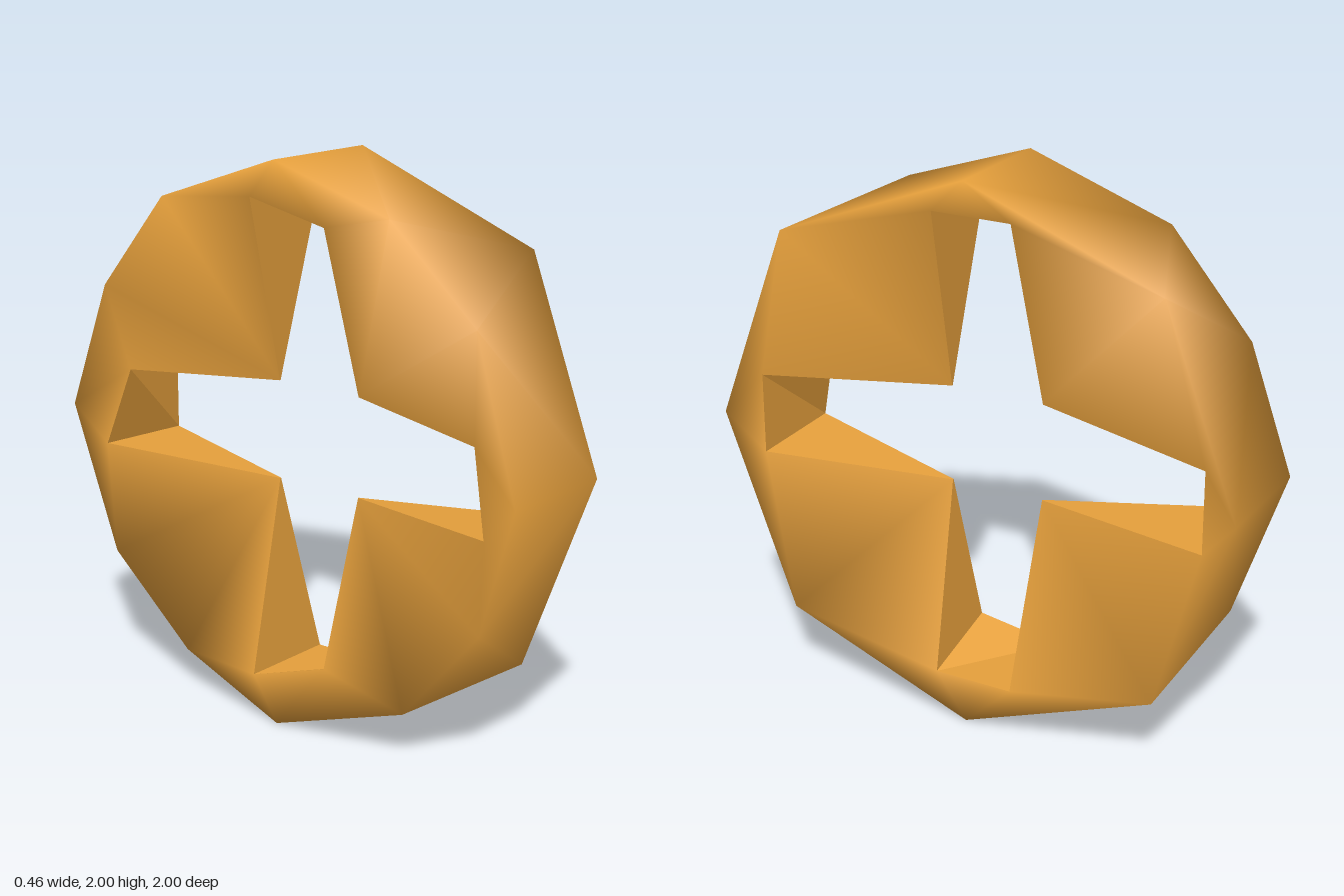
import * as THREE from 'three';
import { mergeVertices } from 'three/addons/utils/BufferGeometryUtils.js';

// Arm directions of the cross opening: up, front, down, back, as [y, z].
const ARMS = [[1, 0], [0, 1], [-1, 0], [0, -1]];

// Point in quadrant k: x along the axle, a along arm k, b along the next arm.
function point(k, x, a, b) {
  const u = ARMS[k], v = ARMS[(k + 1) % 4];
  return [x, 1 + a * u[0] + b * v[0], a * u[1] + b * v[1]];
}

// All named corners of one quadrant (F = +x face, B = -x face).
function corners(k) {
  const deep = [-0.15, 0.78, 0.15], shallow = [-0.2, 0.86, 0.135];
  const s1 = k === 0 || k === 3 ? deep : shallow;
  const s2 = k < 2 ? deep : shallow;
  const p = (x, a, b) => point(k, x, a, b);
  return {
    hubF: p(0.002, 0.18, 0.18), hubB: p(-0.002, 0.18, 0.18),
    s1F: p(0.18, 0.865, 0.15), s2F: p(0.18, 0.15, 0.865),
    s1B: p(s1[0], s1[1], s1[2]), s2B: p(s2[0], s2[2], s2[1]),
    r1F: p(0.23, 1, 0), dF: p(0.23, 0.725, 0.725), r2F: p(0.23, 0, 1),
    r1B: p(-0.23, 1, 0), p1: p(-0.2, 0.85, 0.465),
    p2: p(-0.205, 0.545, 0.82), r2B: p(-0.23, 0, 1)
  };
}

function geometryOf(triangles, smooth) {
  let g = new THREE.BufferGeometry();
  g.setAttribute('position', new THREE.Float32BufferAttribute(triangles.flat(2), 3));
  if (smooth) g = mergeVertices(g);
  g.computeVertexNormals();
  return g;
}

export function createModel() {
  const group = new THREE.Group();
  group.name = 'wheel';
  const material = new THREE.MeshStandardMaterial({ color: 0xe6a03c });
  const shell = [], walls = [];
  const quads = [0, 1, 2, 3].map(corners);

  quads.forEach((c, k) => {
    const prev = quads[(k + 3) % 4];
    // Dished +x face
    shell.push([c.hubF, c.s1F, c.dF], [c.hubF, c.dF, c.s2F],
      [c.s1F, c.r1F, c.dF], [c.s2F, c.dF, c.r2F], [prev.s2F, c.r1F, c.s1F]);
    // Dished -x face
    shell.push([c.hubB, c.p1, c.s1B], [c.hubB, c.p2, c.p1], [c.hubB, c.s2B, c.p2],
      [c.s1B, c.p1, c.r1B], [c.s2B, c.r2B, c.p2], [c.s1B, c.r1B, prev.s2B]);
    // Faceted tread joining the two rings
    shell.push([c.r1F, c.p1, c.dF], [c.r1F, c.r1B, c.p1], [c.dF, c.p1, c.p2],
      [c.dF, c.p2, c.r2F], [c.r2F, c.p2, c.r2B]);
    // Tapering side walls of the cross opening
    walls.push([c.hubF, c.s1B, c.s1F], [c.hubF, c.hubB, c.s1B],
      [c.hubF, c.s2F, c.s2B], [c.hubF, c.s2B, c.hubB]);
    // End wall of each arm
    walls.push([prev.s2F, c.s1F, c.s1B], [prev.s2F, c.s1B, prev.s2B]);
  });

  const body = new THREE.Mesh(geometryOf(shell, true), material);
  body.name = 'wheelBody';
  const opening = new THREE.Mesh(geometryOf(walls, false), material);
  opening.name = 'crossOpeningWalls';
  group.add(body, opening);
  return group;
}
